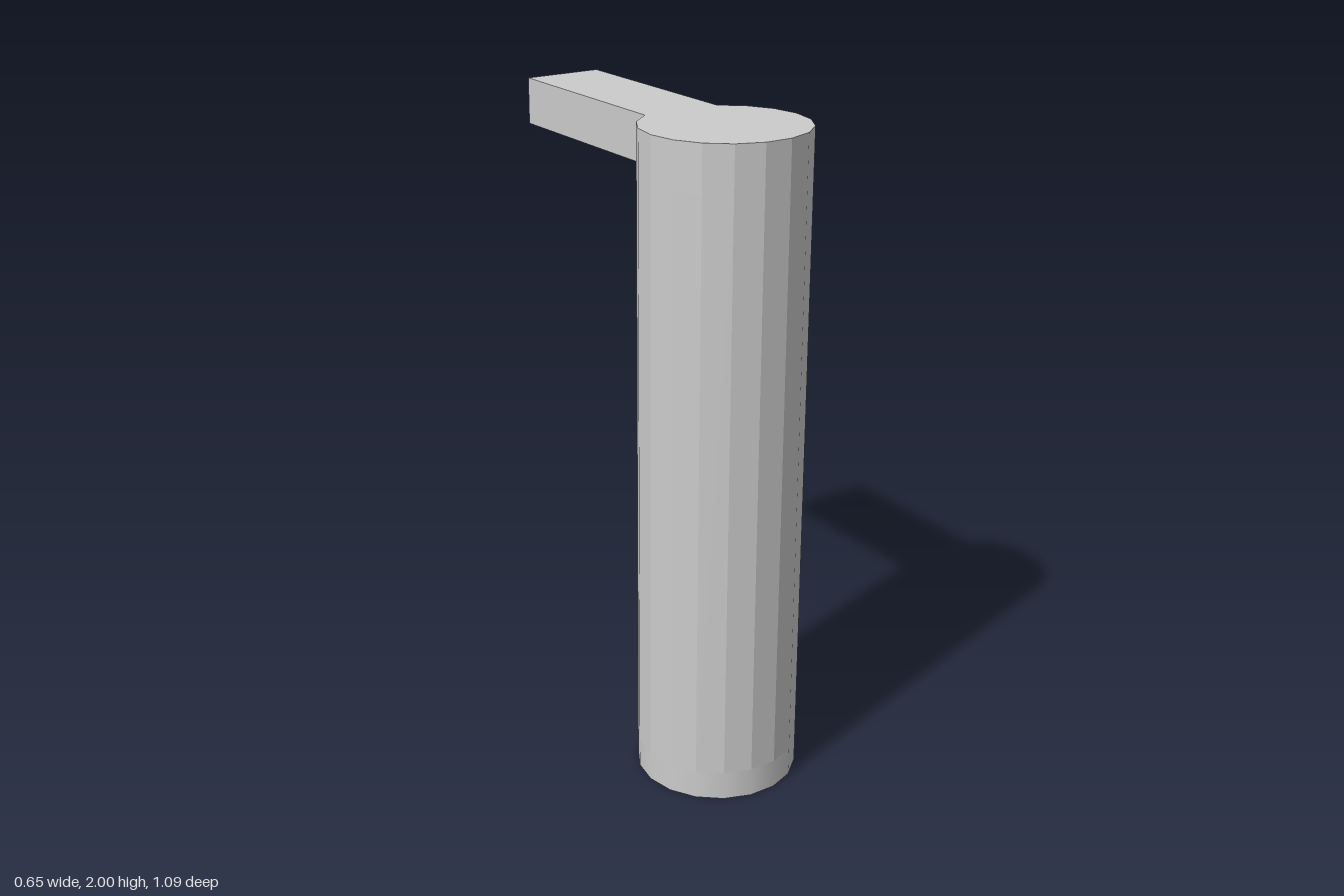
import * as THREE from 'three';

const SIDES = 18, R = 0.245, CX = -0.084, CZ = 0.305;
const BAND = 0.09, ARM_Y = 1.86, TOP = 2;
const ARM_ANGLE = THREE.MathUtils.degToRad(70), ARM_END = 0.859;

export function createModel() {
  const group = new THREE.Group();
  const smooth = new THREE.MeshStandardMaterial({ color: 0xcccccc });
  const flat = new THREE.MeshStandardMaterial({ color: 0xcccccc, flatShading: true });

  const add = (name, geometry, material, y) => {
    const mesh = new THREE.Mesh(geometry, material);
    mesh.name = name;
    mesh.position.set(CX, y, CZ);
    group.add(mesh);
  };
  const prism = (height, open) =>
    new THREE.CylinderGeometry(R, R, height, SIDES, 1, open, Math.PI / 2);

  // Smooth foot band with the closed bottom
  add('footBand', prism(BAND, false), smooth, BAND / 2);

  // Faceted column up to the underside of the arm
  add('column', prism(ARM_Y - BAND, true), flat, (BAND + ARM_Y) / 2);

  // Column head and arm in one outline: the arm spans three sides of the polygon
  const outline = [];
  for (let i = 0; i < SIDES; i++) {
    if (i === 3 || i === 4) continue;
    const a = (i / SIDES) * Math.PI * 2;
    outline.push(new THREE.Vector2(R * Math.cos(a), R * Math.sin(a)));
    if (i === 2) {
      for (const side of [-1, 1]) {
        outline.push(new THREE.Vector2(ARM_END, side * R / 2)
          .rotateAround(new THREE.Vector2(), ARM_ANGLE));
      }
    }
  }
  const head = new THREE.ExtrudeGeometry(new THREE.Shape(outline), {
    depth: TOP - ARM_Y, bevelEnabled: false,
  });
  head.rotateX(-Math.PI / 2);
  add('headWithArm', head, flat, ARM_Y);

  return group;
}
